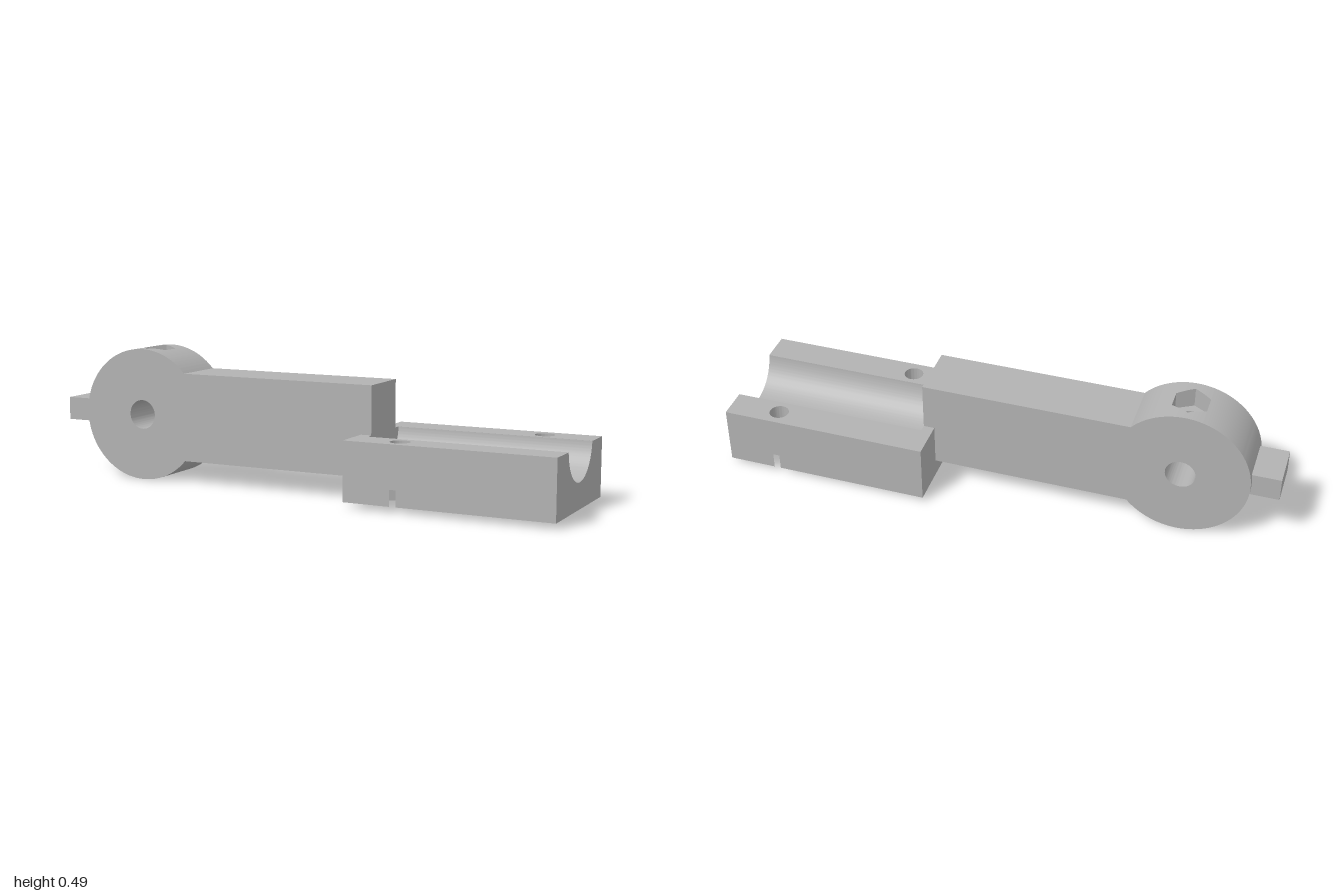
import * as THREE from 'three';
import { toCreasedNormals } from 'three/addons/utils/BufferGeometryUtils.js';

// Head of the arm
const HX = -0.655, HY = 0.247, HR = 0.245;
const HALF = 0.1025; // half thickness of the arm
const NUT = 0.07, FLAT = NUT * Math.cos(Math.PI / 6);
const FLOOR = 0.42, BORE_END = 0.305;
const SCREW_R = 0.035;

// Clamp block, around its own centre line
const BX = 0.6225, BL = 0.3775, BW = 0.245;
const BOTTOM = 0.022, POCKET = 0.08, TOP = 0.235;
const GROOVE_R = 0.131, GROOVE_Y = 0.246, GROOVE_W = 0.1305;
const SCREW = { x: -0.1925, z: 0.185 }, CLAMP_NUT = 0.067;

const shapeOf = (pts) => new THREE.Shape(pts.map(([x, y]) => new THREE.Vector2(x, y)));

function addHole(shape, x, y, r) {
  const hole = new THREE.Path();
  hole.absarc(x, y, r, 0, Math.PI * 2, true);
  shape.holes.push(hole);
}

function extrude(shape, depth) {
  const g = new THREE.ExtrudeGeometry(shape, { depth, bevelEnabled: false, curveSegments: 40 });
  return toCreasedNormals(g, 0.45);
}

// Extrude an (x, z) outline vertically from y0 to y1
function plate(shape, y0, y1) {
  return extrude(shape, y1 - y0).rotateX(Math.PI / 2).translate(0, y1, 0);
}

function box(x0, x1, y0, y1, halfZ) {
  return new THREE.BoxGeometry(x1 - x0, y1 - y0, halfZ * 2)
    .translate((x0 + x1) / 2, (y0 + y1) / 2, 0);
}

function armGeometry() {
  const join = Math.asin(0.1625 / HR), cut = Math.acos(FLAT / HR);
  const s = new THREE.Shape();
  s.moveTo(0.285, HY - 0.1625);
  s.lineTo(0.285, HY + 0.1625);
  s.absarc(HX, HY, HR, join, cut, false);
  s.lineTo(HX + FLAT, BORE_END);
  s.lineTo(HX - FLAT, BORE_END);
  s.absarc(HX, HY, HR, Math.PI - cut, Math.PI * 2 - join, false);
  s.closePath();
  addHole(s, HX, HY, 0.054);
  return extrude(s, HALF * 2).translate(0, 0, -HALF);
}

// Wall beside the hexagonal pocket: round on top, angled on the inside
function pocketWall(side) {
  const g = new THREE.BoxGeometry(FLAT * 2, 1, 1, 12, 1, 1);
  const p = g.attributes.position;
  for (let i = 0; i < p.count; i++) {
    const x = p.getX(i);
    p.setY(i, p.getY(i) > 0 ? HY + Math.sqrt(HR * HR - x * x) : FLOOR);
    p.setZ(i, p.getZ(i) > 0 ? HALF : NUT - Math.abs(x) * Math.tan(Math.PI / 6));
  }
  if (side < 0) g.rotateY(Math.PI);
  return toCreasedNormals(g, 0.45).translate(HX, 0, 0);
}

// Lower slab with two nut pockets that break through the long sides
function clampBase() {
  const { x, z } = SCREW, r = CLAMP_NUT, f = r * Math.cos(Math.PI / 6);
  const w = (z + r - BW) * Math.sqrt(3);
  const half = [
    [BL, BW], [x + w, BW], [x + f, z + r / 2], [x + f, z - r / 2], [x, z - r],
    [x - f, z - r / 2], [x - f, z + r / 2], [x - w, BW], [-BL, BW],
  ];
  const outline = [...half, ...half.map(([a, b]) => [-a, -b])];
  return plate(shapeOf(outline), BOTTOM, POCKET);
}

function clampRail(side) {
  const s = shapeOf([[-BL, GROOVE_W], [BL, GROOVE_W], [BL, BW], [-BL, BW]]);
  addHole(s, SCREW.x, SCREW.z, SCREW_R);
  const g = plate(s, POCKET, TOP);
  return side < 0 ? g.rotateY(Math.PI) : g;
}

function clampTrough() {
  const a = Math.asin((GROOVE_Y - TOP) / GROOVE_R);
  const s = new THREE.Shape();
  s.moveTo(-GROOVE_W, POCKET);
  s.lineTo(GROOVE_W, POCKET);
  s.absarc(0, GROOVE_Y, GROOVE_R, -a, -Math.PI + a, true);
  s.closePath();
  return extrude(s, BL * 2 - 0.04).rotateY(Math.PI / 2).translate(0.04 - BL, 0, 0);
}

export function createModel() {
  const grey = new THREE.MeshStandardMaterial({ color: 0xb2b2b2 });
  grey.name = 'grey';
  const model = new THREE.Group();
  model.name = 'clampArm';
  const add = (parent, name, geometry) => {
    const mesh = new THREE.Mesh(geometry, grey);
    mesh.name = name;
    parent.add(mesh);
  };

  // Arm with round head, cross hole and end tab
  const arm = new THREE.Group();
  arm.name = 'arm';
  add(arm, 'armBody', armGeometry());
  add(arm, 'endTab', box(-1, -0.885, 0.205, 0.29, 0.083));

  // Screw bore and nut pocket in the top of the head
  const bore = shapeOf([
    [HX - FLAT, -HALF], [HX + FLAT, -HALF], [HX + FLAT, HALF], [HX - FLAT, HALF],
  ]);
  addHole(bore, HX, 0, SCREW_R);
  add(arm, 'pocketFloor', plate(bore, BORE_END, FLOOR));
  for (const side of [1, -1]) add(arm, 'pocketWall', pocketWall(side));

  // Clamp block with a half-round groove
  const clamp = new THREE.Group();
  clamp.name = 'clampBlock';
  clamp.position.x = BX;
  add(clamp, 'clampBase', clampBase());
  for (const side of [1, -1]) add(clamp, 'clampRail', clampRail(side));
  add(clamp, 'grooveTrough', clampTrough());
  add(clamp, 'grooveEnd', box(-BL, 0.04 - BL, POCKET, TOP, GROOVE_W));

  model.add(arm, clamp);
  return model;
}
